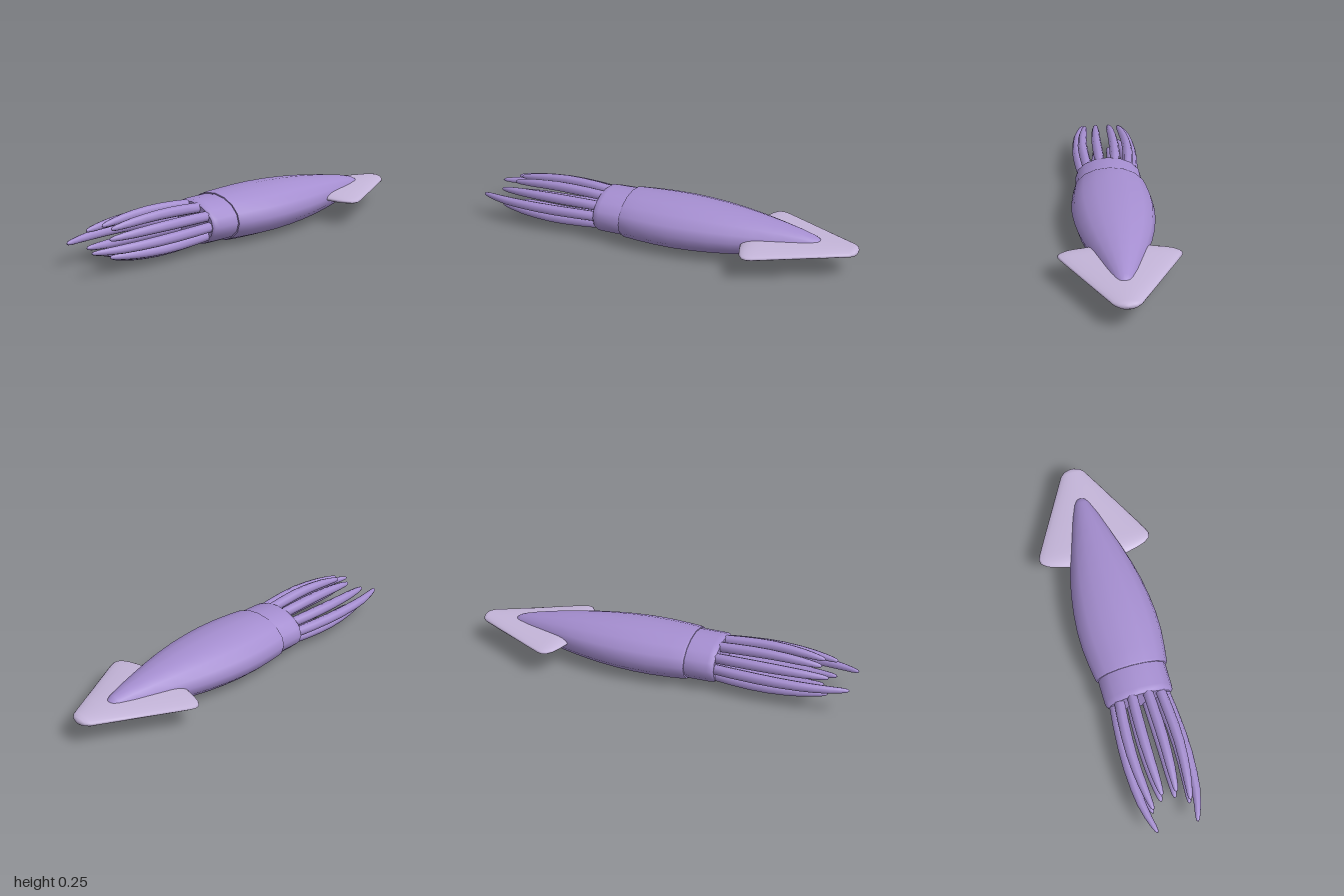
import * as THREE from 'three';

const MID_Y = 0.125;

// Skin elliptical rings [z, rx, ry, x, y] listed from back to front.
// Zero-radius rings close the ends; a repeated ring makes a sharp edge.
function loft(rings, sides) {
  const pos = [], index = [];
  rings.forEach(([z, rx, ry, x = 0, y = MID_Y]) => {
    for (let j = 0; j < sides; j++) {
      const a = (j / sides) * Math.PI * 2;
      pos.push(x + rx * Math.cos(a), y + ry * Math.sin(a), z);
    }
  });
  for (let i = 0; i < rings.length - 1; i++) {
    for (let j = 0; j < sides; j++) {
      const k = (j + 1) % sides;
      const a = i * sides + j, b = i * sides + k;
      const c = b + sides, d = a + sides;
      index.push(a, b, c, a, c, d);
    }
  }
  const geo = new THREE.BufferGeometry();
  geo.setAttribute('position', new THREE.Float32BufferAttribute(pos, 3));
  geo.setIndex(index);
  geo.computeVertexNormals();
  return geo;
}

export function createModel() {
  const group = new THREE.Group();
  const skin = new THREE.MeshStandardMaterial({ color: 0xa58ed0 });
  skin.name = 'purple skin';
  const finSkin = new THREE.MeshStandardMaterial({ color: 0xc4b5d9 });
  finSkin.name = 'pale fin skin';

  const add = (name, geo, mat) => {
    const mesh = new THREE.Mesh(geo, mat);
    mesh.name = name;
    group.add(mesh);
  };

  // Mantle: flattened torpedo, rounder towards the tail
  add('mantle', loft([
    [-0.82, 0, 0], [-0.818, 0.016, 0.015], [-0.805, 0.033, 0.03], [-0.78, 0.047, 0.042],
    [-0.7, 0.075, 0.062], [-0.6, 0.107, 0.08], [-0.5, 0.138, 0.095], [-0.4, 0.165, 0.107],
    [-0.3, 0.186, 0.116], [-0.2, 0.2, 0.122], [-0.1, 0.208, 0.125], [0, 0.207, 0.125],
    [0.1, 0.197, 0.123], [0.17, 0.187, 0.12], [0.182, 0.182, 0.117],
    [0.182, 0.182, 0.117], [0.182, 0, 0],
  ], 16), skin);

  // Head: short collar with a rolled front edge and flat face
  add('head', loft([
    [0.15, 0.172, 0.11], [0.2, 0.175, 0.112], [0.3, 0.174, 0.111], [0.322, 0.171, 0.109],
    [0.332, 0.16, 0.101], [0.332, 0.16, 0.101], [0.332, 0, 0],
  ], 16), skin);

  // Tail fin: one arrowhead blade with a lens-shaped section
  add('tailFin', loft([
    [-1, 0, 0], [-0.998, 0.022, 0.01], [-0.99, 0.044, 0.017], [-0.97, 0.065, 0.021],
    [-0.85, 0.131, 0.023], [-0.7, 0.212, 0.024], [-0.6, 0.266, 0.025], [-0.56, 0.287, 0.025],
    [-0.535, 0.296, 0.025], [-0.51, 0.29, 0.024], [-0.487, 0.26, 0.021],
    [-0.47, 0.21, 0.016], [-0.455, 0.15, 0.01], [-0.445, 0, 0],
  ], 24), finSkin);

  // Ten arms around the mouth; the two side ones are longer tentacles
  const names = ['longTentacle', 'sideArm', 'innerArm', 'innerArm', 'sideArm'];
  const ends = [0.995, 0.89, 0.84, 0.84, 0.89];
  const tipSpread = [0.77, 0.88, 0.88, 0.88, 0.88];
  for (let n = 0; n < 10; n++) {
    const a = (n / 10) * Math.PI * 2, k = n % 5;
    const at = (spread, z) =>
      new THREE.Vector3(0.13 * spread * Math.cos(a), MID_Y + 0.082 * spread * Math.sin(a), z);
    const end = ends[k], span = end - 0.31;
    const path = new THREE.CatmullRomCurve3([
      at(0.99, 0.31), at(1.12, 0.31 + span * 0.3), at(1.14, 0.31 + span * 0.55),
      at(1.03, 0.31 + span * 0.8), at(tipSpread[k], end),
    ]);
    const rings = [
      [0, 0.026], [0.15, 0.027], [0.3, 0.027], [0.45, 0.026], [0.6, 0.024], [0.72, 0.022],
      [0.84, 0.018], [0.93, 0.014], [0.98, 0.009], [1, 0],
    ].map(([t, r]) => {
      const p = path.getPoint(t);
      return [p.z, r, r, p.x, p.y];
    });
    add(names[k] + (n + 1), loft(rings, 8), skin);
  }

  return group;
}
